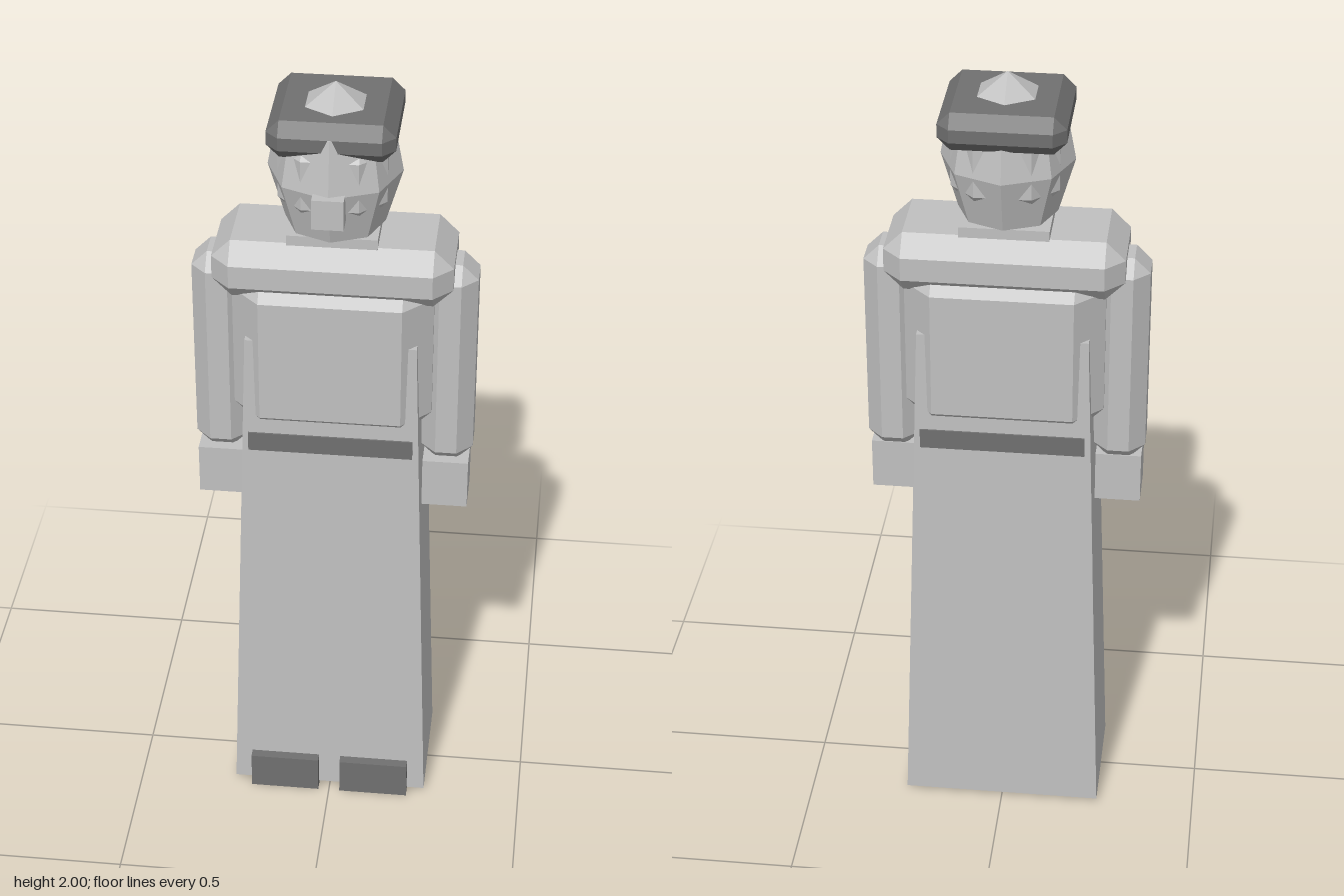
import * as THREE from 'three';
import { ConvexGeometry } from 'three/addons/geometries/ConvexGeometry.js';

const material = (name, color) => {
  const m = new THREE.MeshStandardMaterial({ color, flatShading: true });
  m.name = name;
  return m;
};

// Box with every edge and corner cut by c, given half sizes
function chamferedBox(hx, hy, hz, c) {
  const points = [];
  for (const x of [-1, 1]) for (const y of [-1, 1]) for (const z of [-1, 1]) {
    points.push(
      new THREE.Vector3(x * hx, y * (hy - c), z * (hz - c)),
      new THREE.Vector3(x * (hx - c), y * hy, z * (hz - c)),
      new THREE.Vector3(x * (hx - c), y * (hy - c), z * hz));
  }
  return new ConvexGeometry(points);
}

export function createModel() {
  const group = new THREE.Group();
  const light = material('lightGrey', 0xc0c0c0);
  const dark = material('darkGrey', 0x707070);
  const cz = -0.011; // body centre in z

  const add = (name, geometry, mat, x, y, z) => {
    const mesh = new THREE.Mesh(geometry, mat);
    mesh.name = name;
    mesh.position.set(x, y, z);
    group.add(mesh);
    return mesh;
  };
  const box = (w, h, d) => new THREE.BoxGeometry(w, h, d);

  // Tapered four-sided robe
  const robe = new THREE.CylinderGeometry(0.205 * Math.SQRT2, 0.25 * Math.SQRT2, 1.36, 4);
  robe.rotateY(Math.PI / 4).scale(1, 1, 0.609);
  add('robe', robe, light, 0, 0.69, cz);
  add('belt', box(0.4, 0.05, 0.269), dark, 0, 1.085, cz);

  // Upper body
  add('torso', chamferedBox(0.24, 0.23, 0.14, 0.07), light, 0, 1.32, cz);
  add('shoulders', chamferedBox(0.285, 0.075, 0.132, 0.046), light, 0, 1.545, cz);
  add('collar', box(0.214, 0.05, 0.18), light, 0, 1.617, cz);

  // Arms, hands and feet
  for (const [side, s] of [['left', 1], ['right', -1]]) {
    add(side + 'Arm', chamferedBox(0.064, 0.275, 0.0725, 0.038), light, s * 0.277, 1.28, cz);
    add(side + 'Hand', box(0.112, 0.13, 0.12), light, s * 0.277, 0.95, 0.002);
    add(side + 'Foot', box(0.177, 0.1, 0.28), dark, s * 0.1165, 0.05, 0.024);
  }

  // Eight-sided head with a skull block just breaking its surface
  const profile = [[0, 1.64], [0.118, 1.65], [0.158, 1.785], [0.133, 1.92], [0, 1.94]]
    .map(([r, y]) => new THREE.Vector2(r, y));
  add('head', new THREE.LatheGeometry(profile, 8), light, 0, 0, -0.004);
  add('skull', chamferedBox(0.127, 0.122, 0.127, 0.06), light, 0, 1.798, -0.005);
  add('nose', box(0.074, 0.075, 0.07), light, 0, 1.752, 0.134);

  // Flat hat with a six-sided peak
  add('hat', chamferedBox(0.148, 0.046, 0.148, 0.03), dark, 0, 1.904, -0.021);
  add('hatPeak', new THREE.ConeGeometry(0.08, 0.052, 6), light, 0, 1.974, -0.011);

  return group;
}
